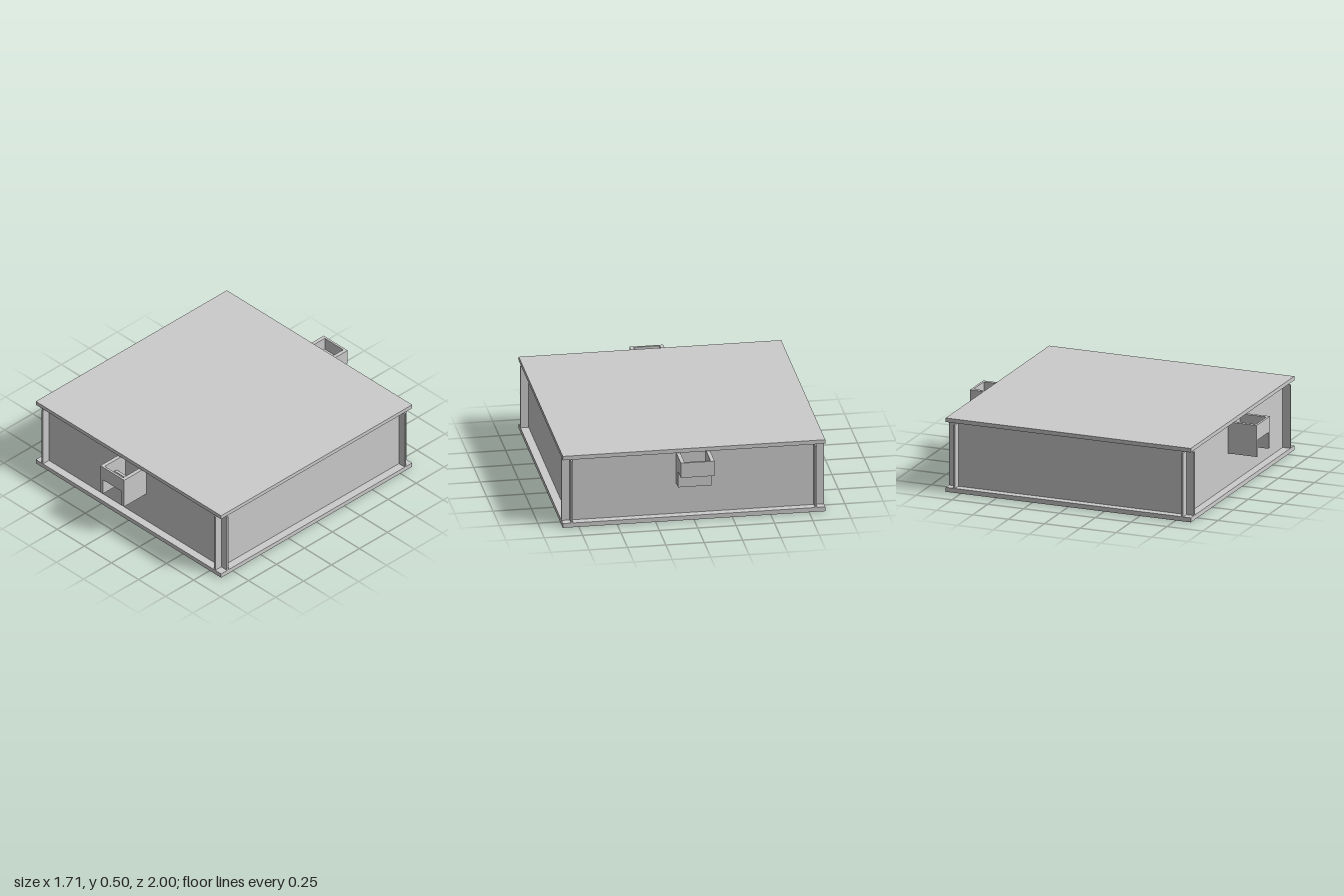
import * as THREE from 'three';

const grey = new THREE.MeshStandardMaterial({ color: 0xcccccc });

export function createModel() {
  const model = new THREE.Group();
  model.name = 'crate';

  const box = (parent, name, [w, h, d], [x, y, z]) => {
    const mesh = new THREE.Mesh(new THREE.BoxGeometry(w, h, d), grey);
    mesh.name = name;
    mesh.position.set(x, y, z);
    parent.add(mesh);
  };

  // Side profile given as [z, y] points, extruded across x and centred on x
  const slab = (parent, name, points, width, x) => {
    const shape = new THREE.Shape(points.map(([z, y]) => new THREE.Vector2(z, y)));
    const geo = new THREE.ExtrudeGeometry(shape, { depth: width, bevelEnabled: false });
    geo.rotateY(-Math.PI / 2).translate(x + width / 2, 0, 0);
    const mesh = new THREE.Mesh(geo, grey);
    mesh.name = name;
    parent.add(mesh);
  };

  // Base plate and floating lid
  box(model, 'basePlate', [1.71, 0.03, 1.71], [0, 0.015, 0]);
  box(model, 'lid', [1.71, 0.027, 1.71], [0, 0.483, 0]);

  // Thin walls that cross at the corners and run on to the plate edge
  for (const s of [-1, 1]) {
    box(model, s > 0 ? 'frontWall' : 'backWall', [1.71, 0.427, 0.012], [0, 0.2435, s * 0.795]);
    box(model, s > 0 ? 'leftWall' : 'rightWall', [0.012, 0.427, 1.71], [s * 0.795, 0.2435, 0]);
  }

  // Latch pockets: a stepped open-topped tray between two cheeks
  const top = 0.457, step = 0.355, low = 0.245, inner = 0.8, mid = 0.89, outer = 1;
  const tray = [
    [inner, low], [mid, low], [mid, step], [outer, step], [outer, top], [0.985, top],
    [0.985, 0.37], [0.875, 0.37], [0.875, 0.26], [inner, 0.26],
  ];
  const steppedCheek = [[inner, low], [mid, low], [mid, step], [outer, step], [outer, top], [inner, top]];
  const fullCheek = [[inner, low], [outer, low], [outer, top], [inner, top]];

  const pocket = (name, cheek) => {
    const group = new THREE.Group();
    group.name = name;
    slab(group, 'tray', tray, 0.17, 0);
    for (const s of [-1, 1]) slab(group, 'cheek', cheek, 0.025, s * 0.0975);
    // Fine ribs across the tray floor
    for (let i = 0; i < 5; i++) box(group, 'rib', [0.17, 0.006, 0.008], [0, 0.372, 0.895 + i * 0.019]);
    model.add(group);
    return group;
  };
  pocket('frontLatch', fullCheek);
  pocket('backLatch', steppedCheek).rotation.y = Math.PI;

  return model;
}
